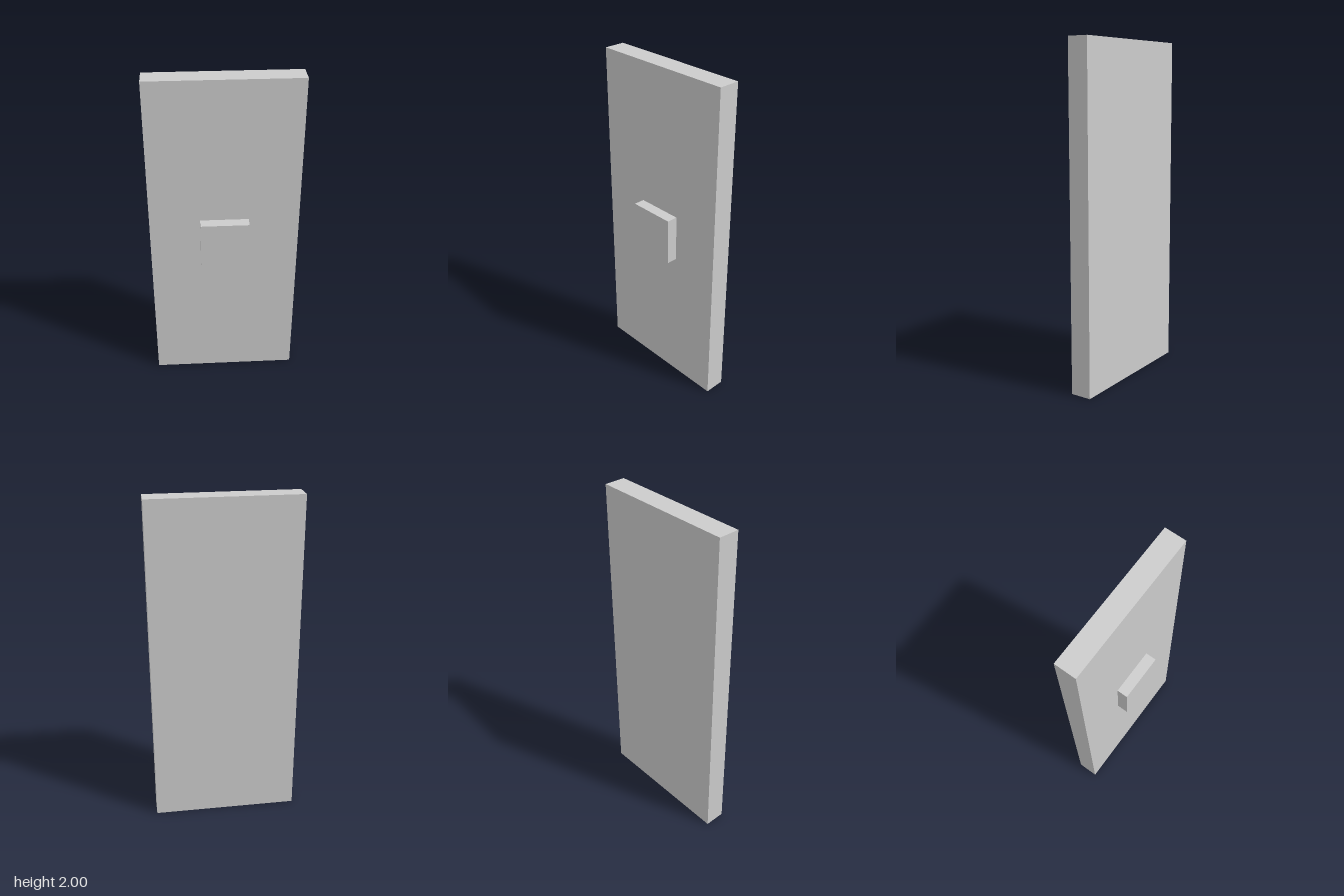
import * as THREE from 'three';

export function createModel() {
  const group = new THREE.Group();
  const material = new THREE.MeshStandardMaterial({ color: 0xcccccc, flatShading: true });

  // Adds a named box spanning z from back to front
  const addBox = (name, width, height, centreY, back, front) => {
    const mesh = new THREE.Mesh(new THREE.BoxGeometry(width, height, front - back), material);
    mesh.name = name;
    mesh.position.set(0, centreY, (back + front) / 2);
    group.add(mesh);
  };

  // Upright slab
  addBox('panel', 0.876, 2, 1, -0.096, 0.03);
  // Square block on the middle of the front face
  addBox('frontBlock', 0.284, 0.284, 1, 0.03, 0.096);

  return group;
}
